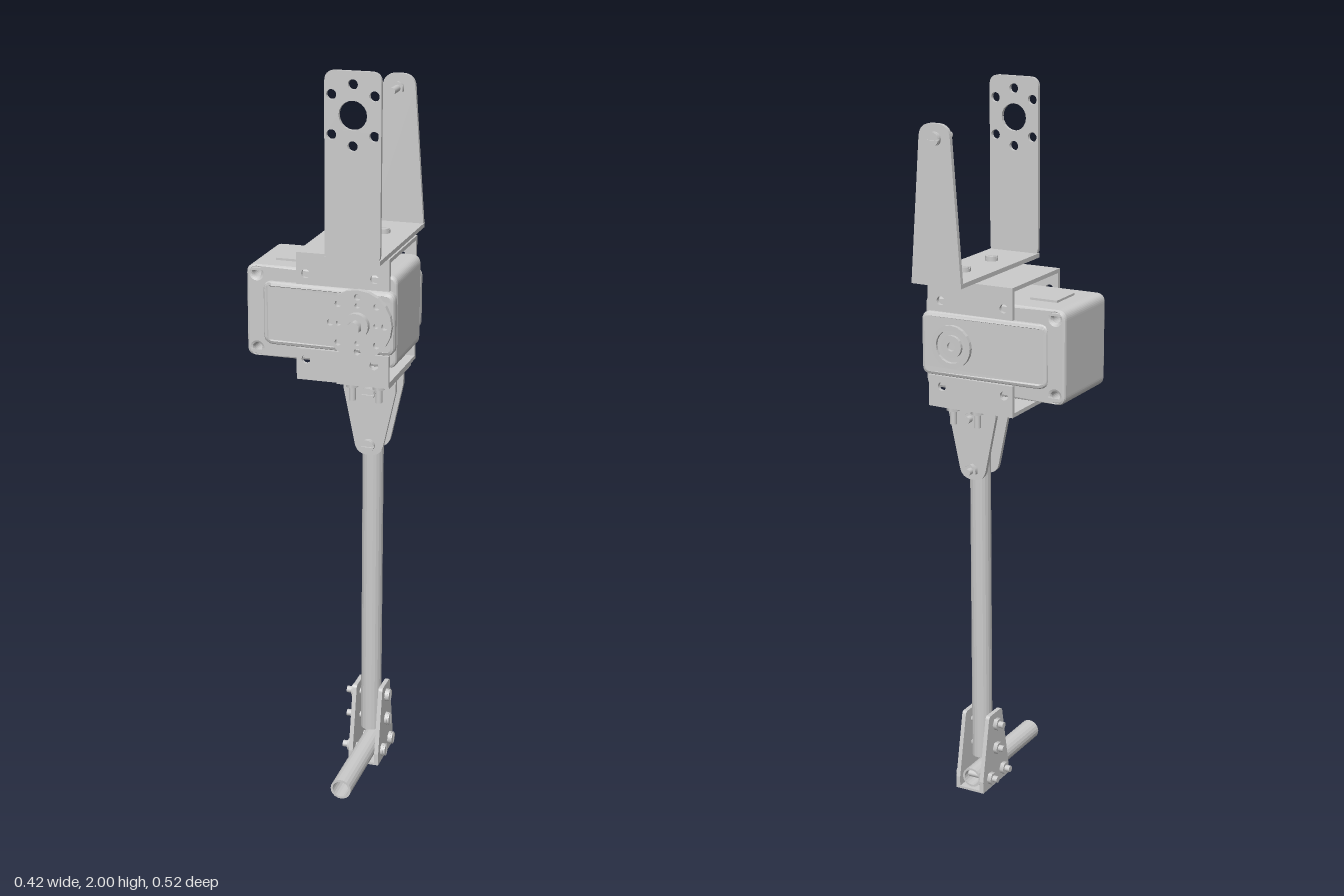
import * as THREE from 'three';

const AX = 0.112;   // x of the leg axis
const AZ = -0.031;  // z of the leg axis
const SY = 1.335;   // height of the servo axis
const material = new THREE.MeshStandardMaterial({ color: 0xcccccc, side: THREE.DoubleSide });

// Polygon with rounded corners; each point is [x, y, radius]
function roundPoly(points) {
  const shape = new THREE.Shape();
  const n = points.length;
  points.forEach(([x, y, r = 0], i) => {
    const corner = new THREE.Vector2(x, y);
    const toward = ([a, b]) => new THREE.Vector2(a - x, b - y).setLength(r).add(corner);
    const start = r ? toward(points[(i + n - 1) % n]) : corner;
    const end = r ? toward(points[(i + 1) % n]) : corner;
    if (i === 0) shape.moveTo(start.x, start.y);
    else shape.lineTo(start.x, start.y);
    if (r) shape.quadraticCurveTo(x, y, end.x, end.y);
  });
  shape.closePath();
  return shape;
}

function rect(x0, x1, y0, y1, r = 0) {
  return roundPoly([[x0, y0, r], [x1, y0, r], [x1, y1, r], [x0, y1, r]]);
}

function addHoles(shape, centres, r) {
  for (const [x, y] of centres) {
    shape.holes.push(new THREE.Path().absarc(x, y, r, 0, Math.PI * 2, true));
  }
  return shape;
}

// Flat part in the xy plane running from z0 to z1
function plate(name, shape, z0, z1, bevel = 0) {
  const geometry = new THREE.ExtrudeGeometry(shape, {
    depth: z1 - z0 - 2 * bevel, curveSegments: 10, bevelEnabled: bevel > 0,
    bevelSize: bevel, bevelOffset: -bevel, bevelThickness: bevel, bevelSegments: 2,
  });
  geometry.translate(0, 0, z0 + bevel);
  const mesh = new THREE.Mesh(geometry, material);
  mesh.name = name;
  return mesh;
}

function box(name, x0, x1, y0, y1, z0, z1) {
  const mesh = new THREE.Mesh(new THREE.BoxGeometry(x1 - x0, y1 - y0, z1 - z0), material);
  mesh.position.set((x0 + x1) / 2, (y0 + y1) / 2, (z0 + z1) / 2);
  mesh.name = name;
  return mesh;
}

function disc(name, r, y0, y1, sides = 28) {
  const mesh = new THREE.Mesh(new THREE.CylinderGeometry(r, r, y1 - y0, sides), material);
  mesh.position.y = (y0 + y1) / 2;
  mesh.name = name;
  return mesh;
}

// Slotted screw whose head sits at the origin and shaft runs down -y, with an optional nut
function screw(name, length, position, axis, nutAt) {
  const group = new THREE.Group();
  group.name = name;
  group.add(disc('screwShaft', 0.0095, -length, 0, 12));
  group.add(disc('screwHead', 0.018, 0, 0.008, 20));
  for (const s of [-1, 1]) {
    const half = new THREE.Shape().absarc(0, 0, 0.017, 0.15, Math.PI - 0.15);
    const land = plate('screwHeadHalf', half, 0, 0.005);
    land.rotation.set(-Math.PI / 2, 0, s > 0 ? 0 : Math.PI);
    land.position.y = 0.008;
    group.add(land);
  }
  if (nutAt) group.add(disc('nut', 0.018, -nutAt - 0.012, -nutAt, 6));
  group.position.set(...position);
  group.quaternion.setFromUnitVectors(new THREE.Vector3(0, 1, 0), new THREE.Vector3(...axis));
  return group;
}

function tube(name, length) {
  const ring = new THREE.Shape().absarc(0, 0, 0.029, 0, Math.PI * 2);
  return plate(name, addHoles(ring, [[0, 0]], 0.023), 0, length);
}

// U bracket carrying the next joint
function upperBracket() {
  const g = new THREE.Group();
  g.name = 'upperBracket';
  g.add(box('bracketBase', 0.04, 0.188, 1.512, 1.524, -0.252, 0.178));
  const front = rect(0.04, 0.188, 1.512, 2, 0.028);
  const centre = [AX + 0.002, 1.89];
  addHoles(front, [centre], 0.037);
  const ring = [[-0.056, 0.05], [0, 0.077], [0.056, 0.05], [-0.056, -0.05], [0, -0.077], [0.056, -0.05]];
  addHoles(front, ring.map(([x, y]) => [centre[0] + x, centre[1] + y]), 0.013);
  g.add(plate('frontArm', front, 0.167, 0.178));
  const back = roundPoly([[0.04, 1.512], [0.188, 1.512], [0.157, 1.928, 0.036], [0.071, 1.928, 0.036]]);
  g.add(plate('backArm', back, -0.252, -0.24));
  g.add(screw('pivotScrew', 0.075, [AX, 1.89, -0.252], [0, 0, -1], 0.012));
  for (const z of [0.037, -0.112]) g.add(screw('baseScrew', 0.065, [AX, 1.524, z], [0, 1, 0], 0.028));
  return g;
}

// Pair of shallow channels clamped above and below the servo
function servoBracket() {
  const g = new THREE.Group();
  g.name = 'servoBracket';
  for (const s of [-1, 1]) {
    const outer = SY + s * 0.174, inner = SY + s * 0.088, web = outer - s * 0.011;
    g.add(box('channelWeb', -0.064, 0.19, Math.min(outer, web), Math.max(outer, web), -0.17, 0.097));
    for (const z of [0.086, -0.17]) {
      const flange = rect(-0.064, 0.19, Math.min(outer, inner), Math.max(outer, inner));
      addHoles(flange, [[-0.038, SY + s * 0.117], [0.15, SY + s * 0.117]], 0.012);
      g.add(plate('channelFlange', flange, z, z + 0.011));
    }
  }
  return g;
}

function servo() {
  const g = new THREE.Group();
  g.name = 'servo';
  const body = rect(-0.209, 0.206, SY - 0.126, SY + 0.126, 0.025);
  addHoles(body, [[-0.18, SY - 0.103], [-0.18, SY + 0.103]], 0.012);
  g.add(plate('servoBody', body, -0.155, 0.081, 0.008));
  // Gear caps, sloping away at the cable end
  for (const s of [-1, 1]) {
    const cap = plate('gearCap', rect(-0.16, 0.206, SY - 0.086, SY + 0.086, 0.025), 0, 0.035, 0.01);
    const p = cap.geometry.attributes.position;
    for (let i = 0; i < p.count; i++) {
      const slope = THREE.MathUtils.clamp((p.getX(i) + 0.18) / 0.06, 0.5, 1);
      p.setZ(i, -0.037 + s * (0.107 + p.getZ(i) * slope));
    }
    if (s < 0) cap.geometry.scale(1, -1, 1).translate(0, 2 * SY, 0);
    cap.geometry.computeVertexNormals();
    g.add(cap);
  }
  // Cable sockets
  for (const s of [-1, 1]) {
    const y = SY + s * 0.126;
    g.add(box('cableSocket', -0.147, -0.067, y - 0.006, y + 0.006, -0.08, 0.02));
  }
  // Drive horn
  const horn = new THREE.Shape().absarc(AX, SY, 0.093, 0, Math.PI * 2);
  const around = (n, r) => Array.from({ length: n }, (_, i) => {
    const a = (i * Math.PI * 2) / n;
    return [AX + r * Math.cos(a), SY + r * Math.sin(a)];
  });
  addHoles(horn, around(8, 0.074), 0.009);
  addHoles(horn, around(4, 0.051), 0.007);
  g.add(plate('driveHorn', horn, 0.109, 0.125));
  const hub = new THREE.Group();
  hub.name = 'hornHub';
  hub.add(disc('hornCore', 0.06, 0.1, 0.11), disc('hornBoss', 0.034, 0.12, 0.142), disc('hornScrew', 0.018, 0.14, 0.165, 6));
  hub.position.set(AX, SY, 0);
  hub.rotation.x = Math.PI / 2;
  g.add(hub);
  // Idler on the back
  const idler = new THREE.Group();
  idler.name = 'idler';
  const rim = new THREE.Shape().absarc(0, 0, 0.058, 0, Math.PI * 2);
  idler.add(plate('idlerRim', addHoles(rim, [[0, 0]], 0.045), -0.186, -0.175));
  const boss = new THREE.Shape().absarc(0, 0, 0.03, 0, Math.PI * 2);
  idler.add(plate('idlerBoss', addHoles(boss, [[0, 0]], 0.012), -0.184, -0.175));
  idler.position.set(AX, SY, 0);
  g.add(idler);
  return g;
}

// Tapered bracket clamping the tube below the servo
function kneeBracket() {
  const g = new THREE.Group();
  g.name = 'kneeBracket';
  g.add(box('kneeWeb', 0.04, 0.186, 1.15, 1.161, -0.14, 0.075));
  for (const z of [0, -0.074]) {
    const side = roundPoly([[0.04, 1.16], [0.04, 1.12], [0.078, 0.934, 0.03], [0.146, 0.934, 0.03], [0.186, 1.12], [0.186, 1.16]]);
    g.add(plate('kneeSide', side, z, z + 0.012));
  }
  for (const y of [0.963, 1.112]) g.add(screw('kneeBolt', 0.12, [AX, y, 0.014], [0, 0, 1], 0.09));
  for (const x of [0.075, 0.149]) {
    for (const z of [0.045, -0.112]) g.add(screw('webScrew', 0.075, [x, 1.174, z], [0, 1, 0], 0.025));
  }
  return g;
}

// Tapered bracket joining the tube to the foot
function footBracket() {
  const g = new THREE.Group();
  g.name = 'footBracket';
  g.add(box('footWeb', 0.068, 0.156, 0, 0.007, -0.106, 0.044));
  for (const x of [0.068, 0.144]) {
    const side = roundPoly([[-0.075, 0], [0.075, 0], [0.075, 0.035], [0.037, 0.225, 0.01], [-0.037, 0.225, 0.01], [-0.075, 0.035]]);
    const mesh = plate('footSide', side, 0, 0.012);
    mesh.rotation.y = Math.PI / 2;
    mesh.position.set(x, 0, AZ);
    g.add(mesh);
  }
  for (const [y, z] of [[0.19, AZ], [0.115, AZ], [0.034, AZ + 0.038], [0.034, AZ - 0.036]]) {
    g.add(screw('footBolt', 0.115, [0.156, y, z], [1, 0, 0], 0.088));
  }
  return g;
}

export function createModel() {
  const model = new THREE.Group();
  model.name = 'robotLeg';
  model.add(upperBracket(), servoBracket(), servo(), kneeBracket(), footBracket());

  const shin = tube('shinTube', 1.06);
  shin.rotation.x = -Math.PI / 2;
  shin.position.set(AX, 0.085, AZ);
  const foot = tube('footTube', 0.355);
  foot.position.set(AX, 0.036, -0.095);
  model.add(shin, foot);
  return model;
}
